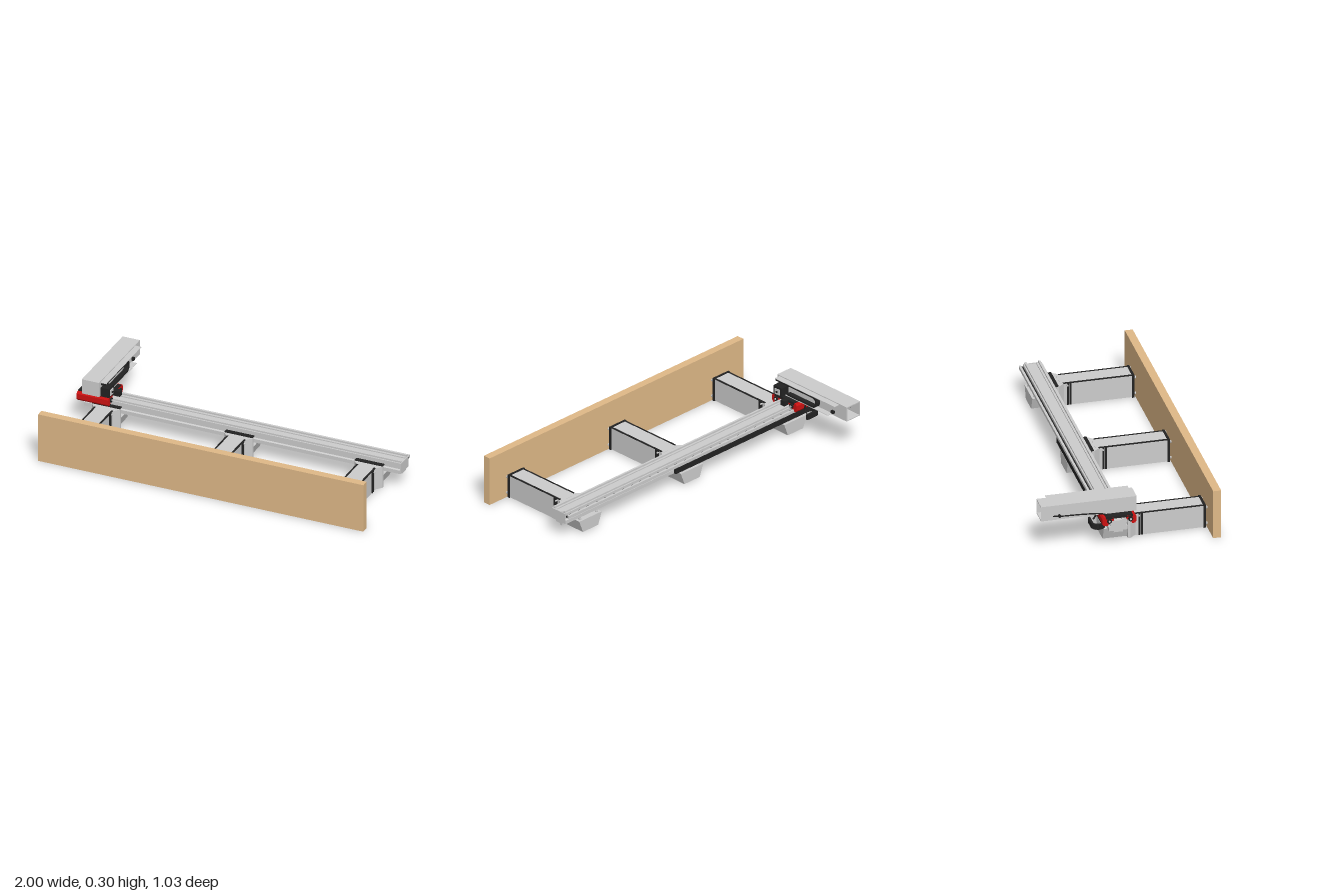
import * as THREE from 'three';

const mat = (color) => new THREE.MeshStandardMaterial({ color });
const grey = mat(0xcccccc), dark = mat(0x222222), red = mat(0xcc1111), wood = mat(0xdeb887);

function add(parent, name, geometry, material = grey) {
  const mesh = new THREE.Mesh(geometry, material);
  mesh.name = name;
  parent.add(mesh);
  return mesh;
}

// Box given by its limits on each axis
function box(parent, name, [x0, x1], [y0, y1], [z0, z1], material) {
  const g = new THREE.BoxGeometry(x1 - x0, y1 - y0, z1 - z0);
  g.translate((x0 + x1) / 2, (y0 + y1) / 2, (z0 + z1) / 2);
  return add(parent, name, g, material);
}

// Cylinder along one axis, centred on a point
function rod(parent, name, axis, r, length, [x, y, z], material) {
  const g = new THREE.CylinderGeometry(r, r, length, 16);
  if (axis === 'x') g.rotateZ(Math.PI / 2);
  if (axis === 'z') g.rotateX(Math.PI / 2);
  g.translate(x, y, z);
  return add(parent, name, g, material);
}

// Profile of [z, y] points, extruded along x
function profileX(parent, name, points, [x0, x1], material) {
  const shape = new THREE.Shape(points.map(([z, y]) => new THREE.Vector2(-z, y)));
  const g = new THREE.ExtrudeGeometry(shape, { depth: x1 - x0, bevelEnabled: false });
  g.rotateY(Math.PI / 2).translate(x0, 0, 0);
  return add(parent, name, g, material);
}

// Row of chain links along a path
function chain(parent, name, path, count, [w, h]) {
  const group = new THREE.Group();
  group.name = name;
  const step = path.getLength() / count;
  for (let i = 0; i < count; i++) {
    const t = (i + 0.5) / count;
    const link = add(group, 'chainLink', new THREE.BoxGeometry(w, h, step * 1.02), dark);
    const p = path.getPointAt(t);
    link.position.copy(p);
    link.lookAt(p.clone().add(path.getTangentAt(t)));
  }
  parent.add(group);
}

// U-shaped path: out along a straight, round a half turn and back
function uPath(toPoint, from, centre, back, r) {
  const pts = [];
  for (let i = 0; i <= 12; i++) pts.push(toPoint(from + (centre - from) * i / 12, r));
  for (let i = 1; i < 12; i++) {
    const a = Math.PI * i / 12;
    pts.push(toPoint(centre + Math.sin(a) * r * Math.sign(centre - from), Math.cos(a) * r));
  }
  for (let i = 0; i <= 12; i++) pts.push(toPoint(centre + (back - centre) * i / 12, -r));
  return new THREE.CatmullRomCurve3(pts);
}

// Leg reaching from the board to the saddle under the beam
function makeLeg(x) {
  const leg = new THREE.Group();
  leg.name = 'leg';
  box(leg, 'legTube', [-0.056, 0.056], [0.005, 0.143], [0.03, 0.45]);
  box(leg, 'legEndPlate', [-0.062, 0.062], [0.003, 0.146], [0.443, 0.457], dark);
  for (const s of [-1, 1]) {
    const c = s * 0.053;
    box(leg, 'legEdgeStrip', [c - 0.005, c + 0.005], [0.14, 0.1445], [0.045, 0.445], dark);
    for (const z of [0.073, 0.088])
      box(leg, 'legSideStrip', [s * 0.057 - 0.003, s * 0.057 + 0.003], [0.006, 0.144], [z - 0.005, z + 0.005], dark);
    for (const y of [0.03, 0.13]) {
      rod(leg, 'boardBolt', 'z', 0.004, 0.03, [s * 0.055, y, 0.458]);
      rod(leg, 'boardBoltHead', 'z', 0.008, 0.006, [s * 0.058, y, 0.462]);
    }
    rod(leg, 'sideBolt', 'x', 0.005, 0.012, [s * 0.062, 0.13, 0.07]);
    // Clamps that hold the beam
    for (const z of [-0.015, -0.123]) {
      rod(leg, 'beamClampBolt', 'y', 0.004, 0.035, [s * 0.065, 0.09, z]);
      rod(leg, 'beamClampNut', 'y', 0.008, 0.008, [s * 0.065, 0.09, z]);
    }
  }
  // Saddle with a trapezoid section below the beam
  const section = new THREE.Shape([[-0.06, 0.01], [0.06, 0.01], [0.088, 0.085], [-0.088, 0.085]]
    .map(([a, b]) => new THREE.Vector2(a, b)));
  const saddle = new THREE.ExtrudeGeometry(section, { depth: 0.14, bevelEnabled: false });
  add(leg, 'saddle', saddle.translate(0, 0, -0.14));
  // Flared head joining the leg to the saddle
  const plan = new THREE.Shape([[-0.056, -0.05], [0.056, -0.05], [0.086, -0.015], [0.086, 0], [-0.086, 0], [-0.086, -0.015]]
    .map(([a, b]) => new THREE.Vector2(a, b)));
  const head = new THREE.ExtrudeGeometry(plan, { depth: 0.134, bevelEnabled: false });
  add(leg, 'flaredHead', head.rotateX(-Math.PI / 2).translate(0, 0.008, 0));
  box(leg, 'headTopPlate', [-0.086, 0.086], [0.142, 0.147], [-0.014, 0.012], dark);
  leg.position.x = x;
  return leg;
}

// Long beam with guide rails and a cable chain at its back
function makeBeam() {
  const beam = new THREE.Group();
  beam.name = 'beam';
  profileX(beam, 'beamProfile', [
    [-0.018, 0.1], [-0.018, 0.122], [-0.028, 0.126], [-0.028, 0.14], [-0.018, 0.144], [-0.018, 0.168],
    [-0.05, 0.168], [-0.05, 0.162], [-0.092, 0.162], [-0.092, 0.168], [-0.126, 0.168],
    [-0.126, 0.144], [-0.116, 0.14], [-0.116, 0.126], [-0.126, 0.122], [-0.126, 0.1],
  ], [-0.96, 0.985]);
  box(beam, 'beamEndCap', [0.985, 0.99], [0.102, 0.166], [-0.124, -0.02]);
  for (const z of [-0.032, -0.112])
    box(beam, 'guideRail', [-0.96, 0.985], [0.168, 0.178], [z - 0.006, z + 0.006]);
  box(beam, 'rackShelf', [-0.96, 0.985], [0.142, 0.152], [-0.138, -0.124], dark);
  box(beam, 'backLip', [-0.96, 0.985], [0.142, 0.16], [-0.15, -0.137]);
  box(beam, 'underStrip', [-0.96, 0.985], [0.09, 0.1], [-0.1, -0.045]);
  const path = uPath((a, b) => new THREE.Vector3(a, 0.12, -0.175 + b), 0.14, -0.895, -0.83, 0.034);
  chain(beam, 'beamChain', path, 70, [0.013, 0.032]);
  return beam;
}

// Carriage with red roller covers, riding on the beam
function makeCarriage() {
  const carriage = new THREE.Group();
  carriage.name = 'carriage';
  const span = [-0.985, -0.79];
  box(carriage, 'carriagePlate', span, [0.19, 0.205], [-0.15, 0.005], dark);
  profileX(carriage, 'frontRedCover', [
    [0.018, 0.2], [0.026, 0.19], [0.026, 0.16], [0.018, 0.149], [0.002, 0.149], [-0.008, 0.168], [-0.028, 0.175], [-0.028, 0.2],
  ], span, red);
  profileX(carriage, 'rearRedCover', [
    [-0.105, 0.2], [-0.105, 0.178], [-0.13, 0.17], [-0.138, 0.149], [-0.162, 0.149], [-0.17, 0.16], [-0.17, 0.19], [-0.162, 0.2],
  ], span, red);
  for (const x of span)
    for (const z of [-0.008, -0.13]) {
      rod(carriage, 'guideRoller', 'x', 0.014, 0.014, [x, 0.178, z], dark);
      rod(carriage, 'rollerBolt', 'x', 0.006, 0.02, [x, 0.178, z]);
    }
  box(carriage, 'sensorBlock', [-0.8, -0.762], [0.172, 0.204], [-0.1, -0.07], dark);
  // Drive unit beside the arm
  box(carriage, 'driveHousing', [-0.845, -0.79], [0.195, 0.256], [-0.05, 0.015], dark);
  box(carriage, 'driveFace', [-0.79, -0.786], [0.208, 0.243], [-0.036, 0.002]);
  rod(carriage, 'driveShaft', 'x', 0.006, 0.008, [-0.784, 0.226, -0.017], dark);
  // Bracket that tows the beam chain
  const tow = new THREE.CatmullRomCurve3([[-0.1, 0.203], [-0.16, 0.203], [-0.176, 0.19], [-0.176, 0.15], [-0.19, 0.13]]
    .map(([z, y]) => new THREE.Vector3(-0.85, y, z)));
  add(carriage, 'towBracket', new THREE.TubeGeometry(tow, 24, 0.005, 8), dark);
  return carriage;
}

// Hollow square arm with its own chain
function makeArm() {
  const arm = new THREE.Group();
  arm.name = 'arm';
  const [x0, x1, y0, y1, t] = [-0.948, -0.842, 0.206, 0.296, 0.005];
  box(arm, 'armTop', [x0, x1], [y1 - t, y1], [-0.515, 0.037]);
  box(arm, 'armBottom', [x0, x1], [y0, y0 + t], [-0.515, 0.037]);
  for (const x of [x0, x1 - t]) box(arm, 'armSide', [x, x + t], [y0 + t, y1 - t], [-0.515, 0.037]);
  box(arm, 'armFrontCap', [x0 + t, x1 - t], [y0 + t, y1 - t], [0.031, 0.037]);
  box(arm, 'chainTopFlange', [x1, -0.805], [0.288, 0.291], [-0.455, 0.02]);
  box(arm, 'chainBottomTray', [x1, -0.808], [0.212, 0.215], [-0.4, -0.06]);
  const path = uPath((a, b) => new THREE.Vector3(-0.824, 0.251 + b, a), 0.02, -0.272, -0.07, 0.03);
  chain(arm, 'armChain', path, 44, [0.028, 0.011]);
  // Fittings and hose along the outer side
  rod(arm, 'crossFitting', 'x', 0.009, 0.13, [-0.894, 0.23, -0.41], dark);
  box(arm, 'fittingBlock', [-0.842, -0.828], [0.222, 0.238], [-0.42, -0.4], dark);
  const hose = new THREE.CatmullRomCurve3([[-0.945, 0.23, -0.445], [-0.956, 0.23, -0.41], [-0.956, 0.225, -0.28], [-0.956, 0.215, -0.17], [-0.965, 0.2, -0.12]]
    .map((p) => new THREE.Vector3(...p)));
  add(arm, 'hose', new THREE.TubeGeometry(hose, 32, 0.004, 8), dark);
  return arm;
}

export function createModel() {
  const model = new THREE.Group();
  model.name = 'linearTransferUnit';
  box(model, 'woodenBoard', [-1, 1], [0, 0.296], [0.466, 0.512], wood);
  for (const x of [-0.81, 0.005, 0.805]) model.add(makeLeg(x));
  model.add(makeBeam(), makeCarriage(), makeArm());
  return model;
}
